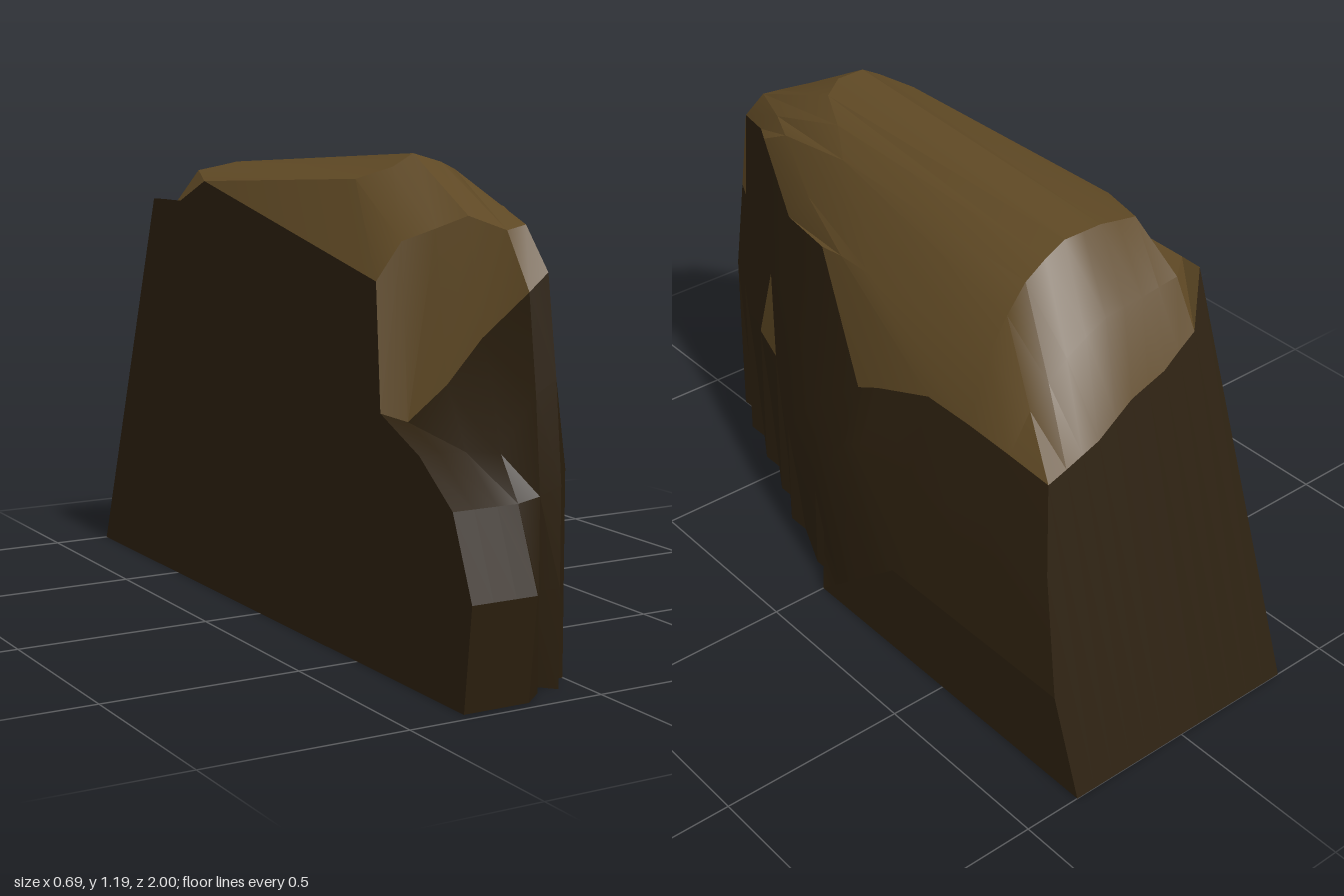
import * as THREE from 'three';
import { toCreasedNormals } from 'three/addons/utils/BufferGeometryUtils.js';

// Upright slices: x, back edge z, back height, crest z/y, shoulder z/y, brow z/y, foot z
const SLICES = [
  [-0.345, -0.62, 1.03, -0.3, 1.09, 0.59, 0.91, 0.61, 0.61, 0.97],
  [-0.29, -0.67, 1.11, 0.4, 1.13, 0.61, 1.0, 0.64, 0.59, 0.97],
  [-0.23, -0.68, 1.12, 0.47, 1.16, 0.66, 1.03, 0.71, 0.68, 0.97],
  [-0.175, -0.69, 1.13, 0.47, 1.19, 0.71, 1.06, 0.77, 0.79, 0.97],
  [-0.117, -0.695, 1.13, 0.5, 1.17, 0.78, 1.03, 0.87, 0.9, 0.92],
  [-0.06, -0.7, 1.13, 0.47, 1.15, 0.77, 1.04, 0.86, 0.94, 0.92],
  [0, -0.71, 1.1, 0.35, 1.13, 0.62, 1.05, 0.7, 0.98, 0.85],
  [0.06, -0.72, 1.06, 0.25, 1.09, 0.5, 1.06, 0.6, 1.01, 0.73],
  [0.115, -0.725, 0.99, 0.1, 1.0, 0.33, 0.97, 0.42, 0.87, 0.58],
  [0.17, -0.73, 0.9, 0, 0.91, 0.12, 0.91, 0.2, 0.9, 0.43],
  [0.23, -0.735, 0.73, -0.3, 0.73, -0.1, 0.65, -0.02, 0.61, 0.3],
  [0.29, -0.807, 0.52, -0.3, 0.52, -0.1, 0.5, -0.04, 0.48, 0.1],
  [0.345, -0.907, 0.25, -0.6, 0.25, -0.4, 0.25, -0.3, 0.25, 0],
];
const FOOT_SLICES = 4;   // slices that run out into the low front foot
const LIGHT_PANELS = 10; // panels whose upper part is pale
const BACK = 1, BROW = 6; // profile points where the colour changes
const STREAKS = { 5: 6, 6: 8, 8: 7 }; // panel: row holding a small pale facet

// Profile of one slice, from the back base over the top to the front base
function profile([x, zb, yb, zc, yc, zd, yd, ze, ye, foot], i) {
  const yEdge = 2.7 * (zb + 1);
  const pts = [
    [-1, 0], [zb, yEdge], [Math.max(-0.6, zb + 0.06), yEdge + 0.55 * (yb - yEdge)],
    [Math.min(-0.45, zc - 0.1), yb], [zc, yc], [zd, yd], [ze, ye],
  ];
  if (i < FOOT_SLICES) {
    pts.push([Math.max(0.78, ze + 0.08), 0.54], [0.92, 0.44], [1, 0.25]);
  } else {
    // The wall swells out to the foot line by half height; the last slice is straight
    const swell = i < SLICES.length - 1 ? [0.6, 1, 1] : [0.25, 0.5, 0.75];
    swell.forEach((s, k) => pts.push([ze + (foot - ze) * s, ye * (0.75 - 0.25 * k)]));
  }
  pts.push([foot, 0]);
  return pts.map(([z, y]) => new THREE.Vector3(x, y, z));
}

function makeMesh(name, triangles, material) {
  const geometry = new THREE.BufferGeometry().setFromPoints(triangles);
  geometry.computeVertexNormals();
  const mesh = new THREE.Mesh(toCreasedNormals(geometry, 0.45), material);
  mesh.name = name;
  return mesh;
}

// Flat end wall facing along side (-1 or +1) in x
function cap(points, side, out) {
  const flat = points.map((p) => new THREE.Vector2(p.z, p.y)).reverse();
  const solid = points.slice().reverse();
  for (const [a, b, c] of THREE.ShapeUtils.triangulateShape(flat, [])) {
    const ccw = THREE.ShapeUtils.area([flat[a], flat[b], flat[c]]) > 0;
    const keep = ccw === (side < 0);
    out.push(solid[a], solid[keep ? b : c], solid[keep ? c : b]);
  }
}

export function createModel() {
  const paleRock = new THREE.MeshStandardMaterial({ color: 0x5e4824 });
  paleRock.name = 'pale brown rock';
  const darkRock = new THREE.MeshStandardMaterial({ color: 0x2b1f0e });
  darkRock.name = 'dark brown rock';

  const outlines = SLICES.map(profile);
  const n = outlines[0].length;
  const top = [], sides = [], streaks = [], ends = [], teeth = [], base = [];

  for (let i = 0; i < outlines.length - 1; i++) {
    const a = outlines[i].slice(), b = outlines[i + 1];

    // Stepped notches along the lower right front
    if (i >= FOOT_SLICES) {
      const [g, h, f] = a.slice(n - 3);
      const h2 = h.clone(), f2 = f.clone();
      h2.z -= 0.035;
      f2.z -= 0.065;
      teeth.push(g, h, h2, h, f, f2, h, f2, h2);
      a[n - 2] = h2;
      a[n - 1] = f2;
    }

    // Skin between neighbouring slices, closed underneath
    for (let j = 0; j < n; j++) {
      const k = (j + 1) % n;
      if (k === 0) {
        base.push(a[j], a[k], b[j], a[k], b[k], b[j]);
      } else if (j >= BROW) {
        (STREAKS[i] === j ? streaks : sides).push(a[j], a[k], b[k]);
        sides.push(a[j], b[k], b[j]);
      } else {
        const out = i < LIGHT_PANELS && j >= BACK ? top : sides;
        out.push(a[j], a[k], b[j], a[k], b[k], b[j]);
      }
    }
  }

  cap(outlines[0], -1, ends);
  cap(outlines[outlines.length - 1], 1, ends);

  const group = new THREE.Group();
  group.name = 'rock';
  group.add(
    makeMesh('rockTop', top, paleRock),
    makeMesh('rockSides', sides, darkRock),
    makeMesh('paleStreaks', streaks, paleRock),
    makeMesh('endWalls', ends, darkRock),
    makeMesh('frontNotches', teeth, darkRock),
    makeMesh('underside', base, darkRock),
  );
  return group;
}
